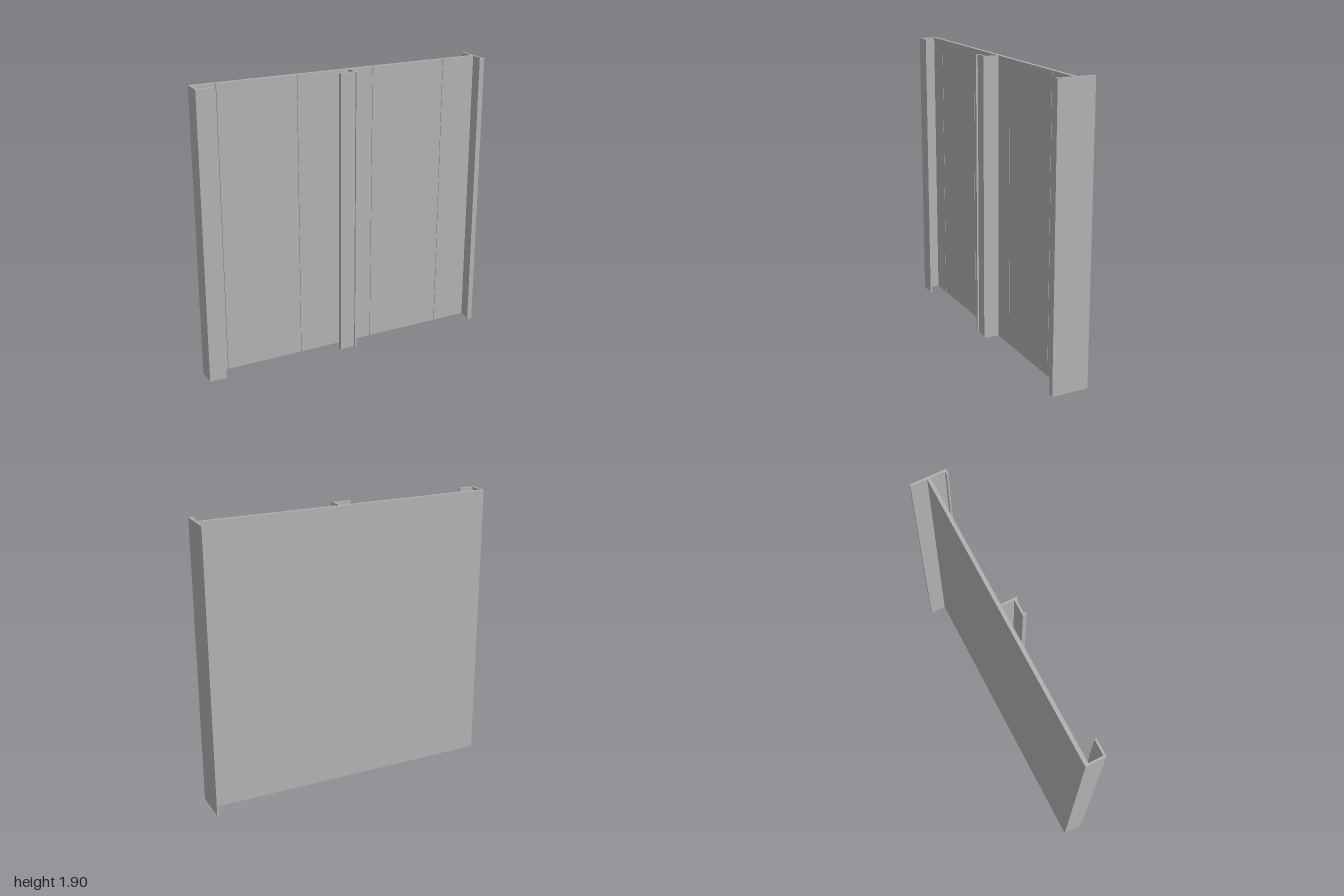
import * as THREE from 'three';

const HEIGHT = 1.9;

export function createModel() {
  const model = new THREE.Group();
  const steel = new THREE.MeshStandardMaterial({ color: 0xb2b2b2 });
  steel.name = 'grey steel';

  // Full-height part extruded from a plan outline of [x, z] points
  function profile(name, points) {
    const shape = new THREE.Shape(points.map(([x, z]) => new THREE.Vector2(x, -z)));
    const geometry = new THREE.ExtrudeGeometry(shape, { depth: HEIGHT, bevelEnabled: false });
    geometry.rotateX(-Math.PI / 2);
    const mesh = new THREE.Mesh(geometry, steel);
    mesh.name = name;
    model.add(mesh);
  }
  const sheet = (name, x0, x1, z0, z1) =>
    profile(name, [[x0, z0], [x1, z0], [x1, z1], [x0, z1]]);

  // Continuous back sheet
  sheet('backSheet', -0.987, 0.986, -0.012, 0);

  // Front sheet laid in strips with hairline seams
  const seams = [-0.987, -0.836, -0.309, 0.219, 0.746, 0.986];
  for (let i = 0; i < seams.length - 1; i++) {
    const gap = 0.0015;
    const start = seams[i] + (i > 0 ? gap : 0);
    const end = seams[i + 1] - (i < seams.length - 2 ? gap : 0);
    sheet('frontStrip' + (i + 1), start, end, 0, 0.012);
  }

  // Edge channel with a returned lip
  profile('rightChannel', [
    [-1, -0.012], [-0.987, -0.012], [-0.987, 0.105], [-0.887, 0.105], [-0.887, 0.118], [-1, 0.118],
  ]);

  // Stepped stiffener in the middle
  profile('middleStiffener', [
    [0.046, 0.012], [0.059, 0.012], [0.059, 0.118], [0.046, 0.118], [0.046, 0.106],
    [-0.049, 0.106], [-0.049, 0.118], [-0.062, 0.118], [-0.062, 0.093], [0.046, 0.093],
  ]);

  // Deep edge flange projecting both ways, with a short lip
  profile('leftFlange', [
    [0.986, -0.123], [1, -0.123], [1, 0.12], [0.964, 0.12], [0.964, 0.107], [0.986, 0.107],
  ]);

  return model;
}
